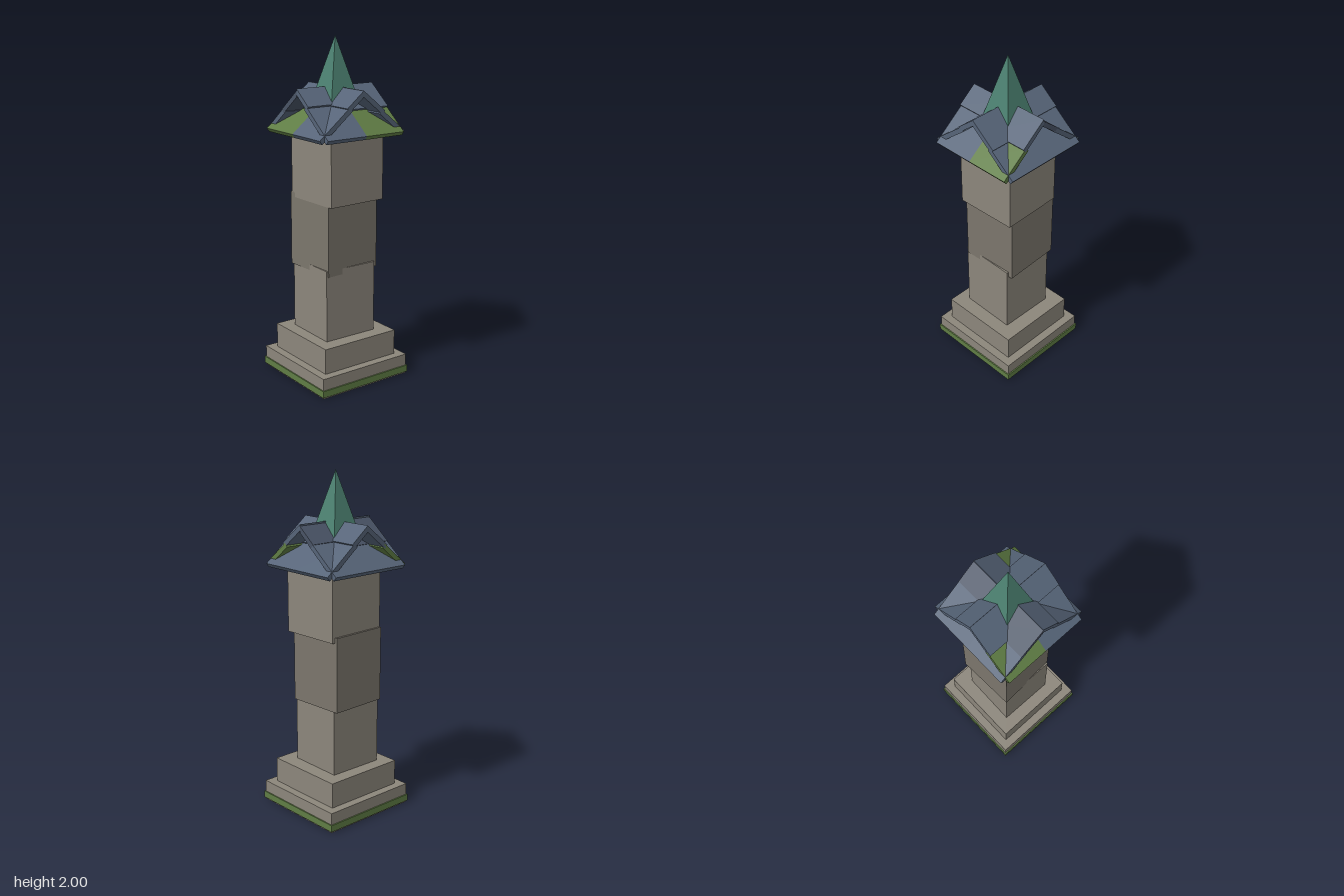
import * as THREE from 'three';

const mat = (color) => new THREE.MeshStandardMaterial({ color, flatShading: true });
const stone = mat(0x8c867b), darkStone = mat(0x7b766c);
const moss = mat(0x5f7c44), copper = mat(0x4b8070);
const slate = mat(0x566478), darkSlate = mat(0x495365);

// Upright square block from y0 to y1, with an optional shift and twist
function block(name, material, width, y0, y1, x = 0, z = 0, twist = 0) {
  const mesh = new THREE.Mesh(new THREE.BoxGeometry(width, y1 - y0, width), material);
  mesh.name = name;
  mesh.position.set(x, (y0 + y1) / 2, z);
  mesh.rotation.y = twist;
  return mesh;
}

// Sloping slab falling towards +x, from distance a0 to a1 off the ridge, between z0 and z1
const PITCH = 0.8;
function slab(name, material, a0, a1, z0, z1, ridgeY) {
  const t = 0.028, n = Math.hypot(1, PITCH);
  const dx = (-t * PITCH) / n, dy = -t / n;
  const y = (a) => ridgeY - PITCH * a;
  const inner = a0 === 0
    ? [0, ridgeY - t * n] // plumb cut where the two slopes meet
    : [a0 + dx, y(a0) + dy];
  const shape = new THREE.Shape([
    new THREE.Vector2(a0, y(a0)),
    new THREE.Vector2(...inner),
    new THREE.Vector2(a1 + dx, y(a1) + dy),
    new THREE.Vector2(a1, y(a1)),
  ]);
  const geometry = new THREE.ExtrudeGeometry(shape, { depth: z1 - z0, bevelEnabled: false });
  geometry.translate(0, 0, z0);
  const mesh = new THREE.Mesh(geometry, material);
  mesh.name = name;
  return mesh;
}

export function createModel() {
  const model = new THREE.Group();
  model.name = 'stoneTower';

  // Stepped plinth with a mossy band
  model.add(
    block('plinthBase', stone, 0.605, 0, 0.12),
    block('mossBand', moss, 0.62, 0.01, 0.05),
    block('plinthStep', stone, 0.505, 0.12, 0.27),
  );

  // Shaft of three slightly twisted blocks
  model.add(
    block('lowerShaft', stone, 0.339, 0.27, 0.695, -0.003, 0.008, -0.015),
    block('middleShaft', darkStone, 0.355, 0.66, 1.1, -0.015, 0, 0.042),
    block('upperShaft', stone, 0.373, 1.07, 1.45, 0.007, -0.008, 0.03),
  );

  // Crossed gable roof: four slopes, each with two halves of an upper and a lower slab
  const roof = new THREE.Group();
  roof.name = 'roof';
  const slopes = [
    { name: 'left', turn: 0, steps: [0.11, 0.15], lower: [slate, moss], upper: slate, top: 1.72 },
    { name: 'front', turn: -Math.PI / 2, steps: [0.15, 0.11], lower: [moss, slate], upper: slate, top: 1.715 },
    { name: 'right', turn: Math.PI, steps: [0.11, 0.15], lower: [slate, slate], upper: darkSlate, top: 1.71 },
    { name: 'back', turn: Math.PI / 2, steps: [0.15, 0.115], lower: [slate, slate], upper: slate, top: 1.717 },
  ];
  for (const s of slopes) {
    const slope = new THREE.Group();
    slope.name = s.name + 'Slope';
    slope.rotation.y = s.turn;
    [1, -1].forEach((side, i) => {
      const [z0, z1] = side > 0 ? [0, 0.262] : [-0.262, 0];
      slope.add(
        slab('upperSlab', s.upper, 0, s.steps[i], z0, z1, s.top),
        slab('lowerSlab', s.lower[i], s.steps[i] - 0.02, 0.294, z0, z1, 1.706),
      );
    });
    roof.add(slope);
  }
  model.add(roof);

  // Four-sided copper spire
  const spire = new THREE.Mesh(
    new THREE.ConeGeometry(0.105 * Math.SQRT2, 0.4, 4).rotateY(Math.PI / 4), copper);
  spire.name = 'spire';
  spire.position.y = 1.8;
  model.add(spire);

  return model;
}
